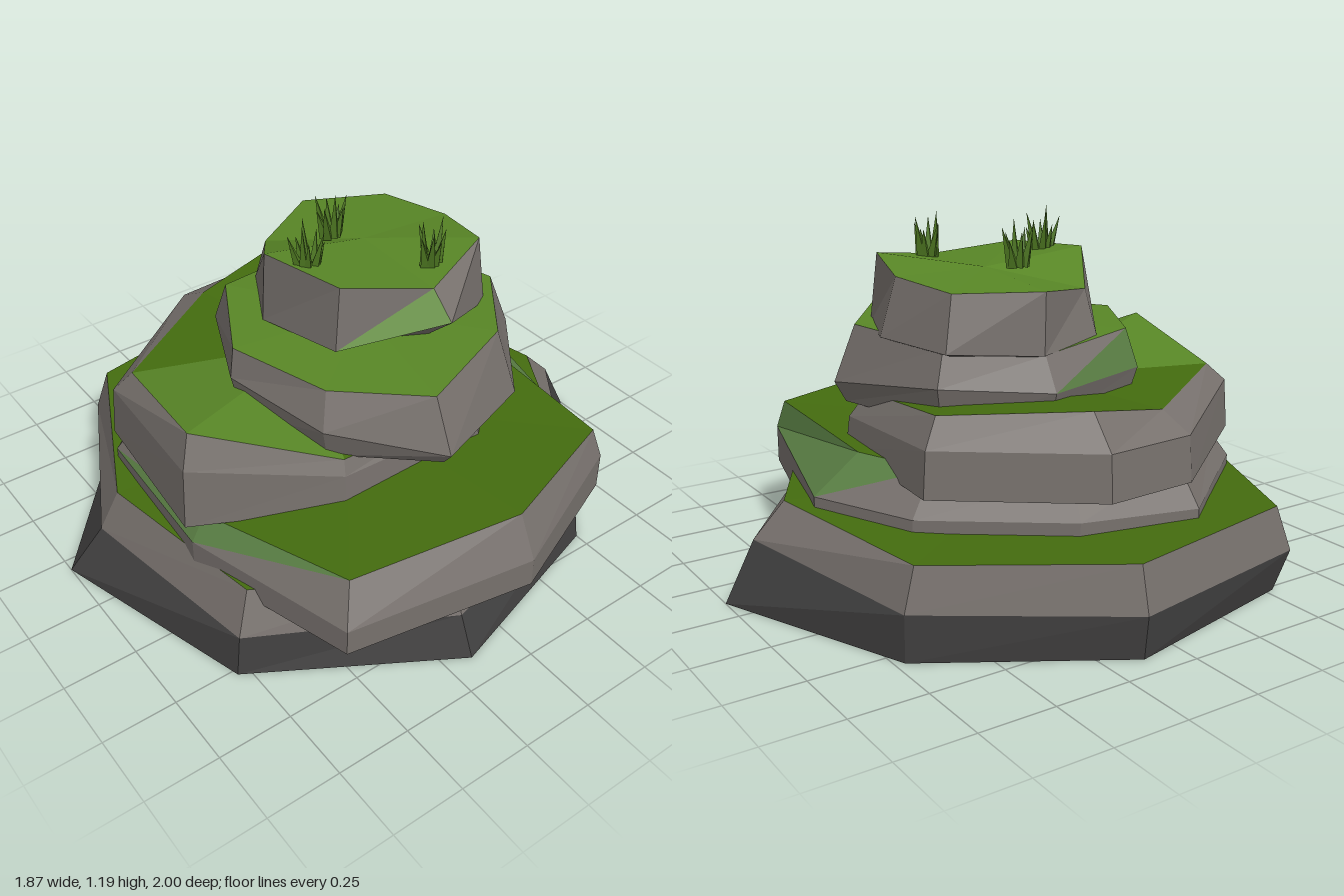
import * as THREE from 'three';

const mat = (name, color) => {
  const m = new THREE.MeshStandardMaterial({ color });
  m.name = name;
  return m;
};

// Mesh of flat triangles
function facets(name, points, material) {
  const g = new THREE.BufferGeometry();
  g.setAttribute('position', new THREE.Float32BufferAttribute(points.flat(), 3));
  g.computeVertexNormals();
  const mesh = new THREE.Mesh(g, material);
  mesh.name = name;
  return mesh;
}

const centreOf = (ring) => [0, 1, 2].map((k) => ring.reduce((s, p) => s + p[k], 0) / ring.length);

// Scaled copy of a ring at a given height, used for undersides
function underside(ring, y, scale) {
  const c = centreOf(ring);
  return ring.map((p) => [c[0] + (p[0] - c[0]) * scale, y, c[2] + (p[2] - c[2]) * scale]);
}

// One ledge: lower wall, upper wall, top fan and bottom fan.
// pick(band, side, half) names the colour of each triangle.
function ledge(name, rings, mats, pick) {
  const buckets = {};
  const add = (key, ...tri) => (buckets[key] ??= []).push(...tri);
  const [bottom, mid, top] = rings;
  const cb = centreOf(bottom), ct = centreOf(top);
  bottom.forEach((_, i) => {
    const j = (i + 1) % bottom.length;
    [['lower', bottom, mid], ['upper', mid, top]].forEach(([band, lo, hi]) => {
      add(pick(band, i, 0), lo[i], hi[i], lo[j]);
      add(pick(band, i, 1), lo[j], hi[i], hi[j]);
    });
    add(pick('top', i, 0), ct, top[j], top[i]);
    add(pick('bottom', i, 0), cb, bottom[i], bottom[j]);
  });
  const group = new THREE.Group();
  group.name = name;
  for (const key in buckets) group.add(facets(name + '_' + key, buckets[key], mats[key]));
  return group;
}

export function createModel() {
  const model = new THREE.Group();
  model.name = 'grassyRock';
  const mats = {
    blackRock: mat('black rock', 0x040404),
    darkRock: mat('dark rock', 0x403f3f),
    rock: mat('rock', 0x76706c),
    moss: mat('mossy rock', 0x5a7f44),
    darkGrass: mat('dark grass', 0x446c0f),
    grass: mat('light grass', 0x588626),
    blade: mat('grass blade', 0x4c7520),
  };

  // Base: corners run from +x round through +z
  const base = [
    [[0.9, 0, 0.16], [0.52, 0, 0.79], [-0.2, 0, 1], [-0.77, 0, 0.53],
      [-0.92, 0, -0.13], [-0.56, 0, -0.72], [0.11, 0, -1], [0.7, 0, -0.5]],
    [[0.84, 0.14, 0.16], [0.51, 0.14, 0.77], [-0.18, 0.14, 0.88], [-0.8, 0.14, 0.57],
      [-0.935, 0.14, -0.13], [-0.56, 0.15, -0.72], [0.1, 0.2, -0.9], [0.67, 0.16, -0.5]],
    [[0.78, 0.28, 0.16], [0.47, 0.28, 0.71], [-0.17, 0.27, 0.81], [-0.77, 0.29, 0.53],
      [-0.9, 0.29, -0.13], [-0.55, 0.29, -0.68], [0.1, 0.31, -0.79], [0.63, 0.28, -0.5]],
  ];
  model.add(ledge('baseLedge', base, mats, (band, i) => {
    if (band === 'top') return 'darkGrass';
    if (band === 'upper') return 'rock';
    return band === 'bottom' && [1, 3, 4, 6].includes(i) ? 'blackRock' : 'darkRock';
  }));

  // Second ledge, leaning to the model's left, mossy at the back and along the front rim
  const secondMid = [[0.93, 0.33, -0.04], [0.82, 0.32, 0.59], [0.24, 0.33, 0.76], [-0.33, 0.31, 0.72],
    [-0.71, 0.32, 0.25], [-0.63, 0.33, -0.15], [-0.33, 0.33, -0.56], [0, 0.34, -0.73], [0.72, 0.36, -0.54]];
  const secondTop = [[0.86, 0.47, -0.04], [0.75, 0.44, 0.53], [0.22, 0.4, 0.7], [-0.3, 0.39, 0.67],
    [-0.62, 0.46, 0.23], [-0.56, 0.45, -0.13], [-0.28, 0.46, -0.46], [0, 0.46, -0.57], [0.69, 0.46, -0.52]];
  model.add(ledge('secondLedge', [underside(secondMid, 0.23, 1), secondMid, secondTop], mats, (band, i, half) => {
    if (band === 'top') return 'darkGrass';
    const mossy = i === 7 || ((i === 1 || i === 6) && half === 1) || (i === 2 && half === 0);
    return band === 'upper' && mossy ? 'moss' : 'rock';
  }));

  // Third ledge, leaning forward
  const thirdMid = [[0.46, 0.53, 0.33], [0.24, 0.62, 0.77], [-0.3, 0.58, 0.72], [-0.69, 0.56, 0.22],
    [-0.71, 0.56, -0.1], [-0.38, 0.56, -0.54], [0.2, 0.52, -0.5], [0.47, 0.52, -0.2]];
  const thirdTop = [[0.44, 0.58, 0.32], [0.21, 0.73, 0.73], [-0.27, 0.64, 0.66], [-0.58, 0.62, 0.2],
    [-0.62, 0.67, -0.1], [-0.34, 0.65, -0.48], [0.18, 0.6, -0.44], [0.43, 0.58, -0.2]];
  model.add(ledge('thirdLedge', [underside(thirdMid, 0.41, 1.02), thirdMid, thirdTop], mats, (band, i, half) => {
    if (band === 'top') return i < 2 ? 'grass' : 'darkGrass';
    return band === 'upper' && i === 6 && half === 1 ? 'moss' : 'rock';
  }));

  // Fourth ledge, leaning to the model's left
  const fourthMid = [[0.66, 0.62, 0.08], [0.4, 0.68, 0.37], [0.04, 0.72, 0.47], [-0.33, 0.69, 0.3],
    [-0.43, 0.68, -0.1], [-0.25, 0.7, -0.42], [0.22, 0.64, -0.54], [0.53, 0.62, -0.3]];
  const fourthTop = [[0.58, 0.8, 0.08], [0.36, 0.8, 0.33], [0.03, 0.82, 0.45], [-0.3, 0.82, 0.27],
    [-0.37, 0.79, -0.1], [-0.22, 0.82, -0.38], [0.2, 0.83, -0.47], [0.47, 0.84, -0.26]];
  model.add(ledge('fourthLedge', [underside(fourthMid, 0.57, 0.93), fourthMid, fourthTop], mats, (band, i, half) => {
    if (band === 'top') return 'grass';
    return band === 'upper' && i === 3 && half === 0 ? 'moss' : 'rock';
  }));

  // Summit, overhanging on the model's left
  const summitMid = [[0.44, 0.92, -0.09], [0.26, 0.84, 0.22], [-0.05, 0.82, 0.285], [-0.3, 0.81, 0.15],
    [-0.38, 0.79, -0.11], [-0.27, 0.81, -0.4], [0.02, 0.82, -0.47], [0.28, 0.81, -0.37]];
  const summitTop = [[0.36, 1.01, -0.08], [0.24, 1.05, 0.19], [-0.05, 1.06, 0.27], [-0.26, 0.96, 0.13],
    [-0.37, 0.99, -0.1], [-0.24, 0.99, -0.36], [0.02, 1.01, -0.41], [0.26, 1.05, -0.35]];
  model.add(ledge('summit', [underside(summitMid, 0.76, 0.6), summitMid, summitTop], mats, (band, i, half) => {
    if (band === 'top') return 'grass';
    return band === 'upper' && i === 0 && half === 0 ? 'grass' : 'rock';
  }));

  // Grass tufts: a few pointed blades leaning outward
  const bladeGeo = new THREE.ConeGeometry(0.02, 1, 4).translate(0, 0.5, 0).toNonIndexed();
  bladeGeo.computeVertexNormals();
  [[-0.08, -0.01, 0.14], [0.06, 0.18, 0.155], [0.25, -0.16, 0.14]].forEach(([x, z, h], t) => {
    const tuft = new THREE.Group();
    tuft.name = 'grassTuft' + (t + 1);
    tuft.position.set(x, 1.02, z);
    for (let i = 0; i < 8; i++) {
      const a = i * 2.4 + t, lean = i ? 0.18 + 0.04 * (i % 4) : 0.06;
      const blade = new THREE.Mesh(bladeGeo, mats.blade);
      blade.name = 'grassBlade';
      blade.position.set(Math.cos(a) * 0.015, 0, Math.sin(a) * 0.025);
      blade.scale.y = h * (1.1 - 0.06 * i);
      blade.rotation.set(Math.sin(a) * lean, 0, -Math.cos(a) * lean);
      tuft.add(blade);
    }
    model.add(tuft);
  });

  return model;
}
